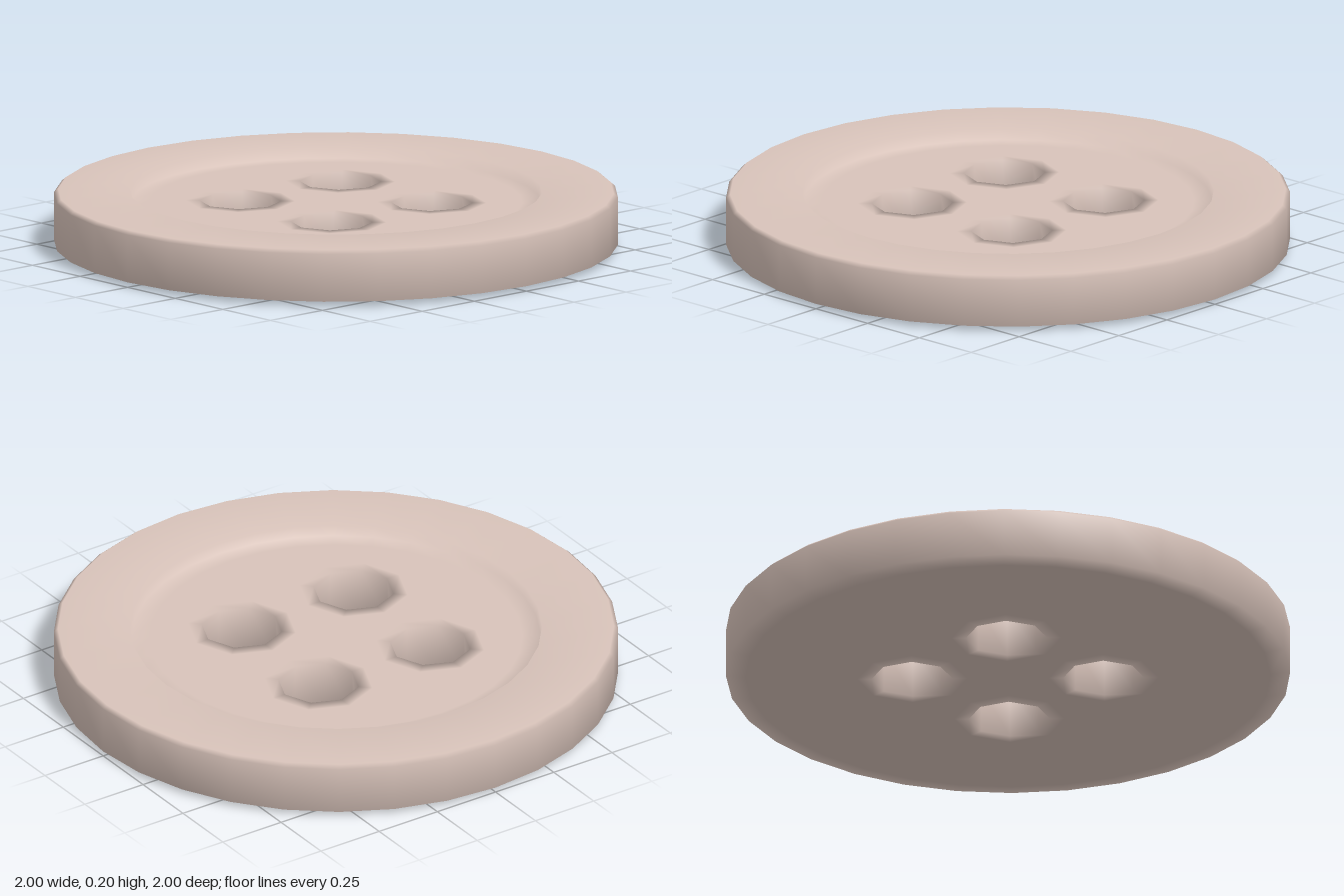
import * as THREE from 'three';

const FLOOR_Y = 0.165;
const FLOOR_R = 0.66;
const BASE_R = 0.58;
const HOLE_R = 0.144;
const HOLE_LIP = 0.195;
const HOLE_OFFSET = 0.24;

const toPoints = (list) => list.map(([x, y]) => new THREE.Vector2(x, y));

function ringPoints(radius, sides, cx = 0, cy = 0) {
  const points = [];
  for (let i = 0; i < sides; i++) {
    const a = (i / sides) * Math.PI * 2;
    points.push(new THREE.Vector2(cx + radius * Math.cos(a), cy + radius * Math.sin(a)));
  }
  return points;
}

const holeCentres = [];
for (const x of [-1, 1]) for (const z of [-1, 1]) holeCentres.push([x * HOLE_OFFSET, z * HOLE_OFFSET]);

// Flat disc with four octagonal openings, facing up (1) or down (-1)
function discWithHoles(radius, facing) {
  const shape = new THREE.Shape(ringPoints(radius, 32));
  for (const [x, z] of holeCentres) {
    shape.holes.push(new THREE.Path(ringPoints(HOLE_LIP, 8, x, z).reverse()));
  }
  return new THREE.ShapeGeometry(shape).rotateX(-facing * Math.PI / 2);
}

export function createModel() {
  const group = new THREE.Group();
  group.name = 'button';
  const material = new THREE.MeshStandardMaterial({ color: 0xd8c3ba });
  material.name = 'pale pink plastic';

  const add = (name, geometry, x = 0, y = 0, z = 0) => {
    const mesh = new THREE.Mesh(geometry, material);
    mesh.name = name;
    mesh.position.set(x, y, z);
    group.add(mesh);
  };

  // Slightly domed underside, outer wall, raised rim and step down to the recess
  add('rim', new THREE.LatheGeometry(toPoints([
    [BASE_R, 0], [0.93, 0.009], [1, 0.018], [1, 0.19], [0.985, 0.203],
    [0.73, 0.203], [0.725, FLOOR_Y], [FLOOR_R, FLOOR_Y],
  ]), 32));

  // Recessed face and underside
  add('recessedFace', discWithHoles(FLOOR_R, 1), 0, FLOOR_Y, 0);
  add('underside', discWithHoles(BASE_R, -1));

  // Thread holes with softly shaded lips
  const holeProfile = toPoints([
    [HOLE_LIP, FLOOR_Y], [HOLE_R, FLOOR_Y], [HOLE_R, 0], [HOLE_LIP, 0],
  ]);
  for (const [x, z] of holeCentres) {
    add('threadHole', new THREE.LatheGeometry(holeProfile, 8), x, 0, z);
  }
  return group;
}
